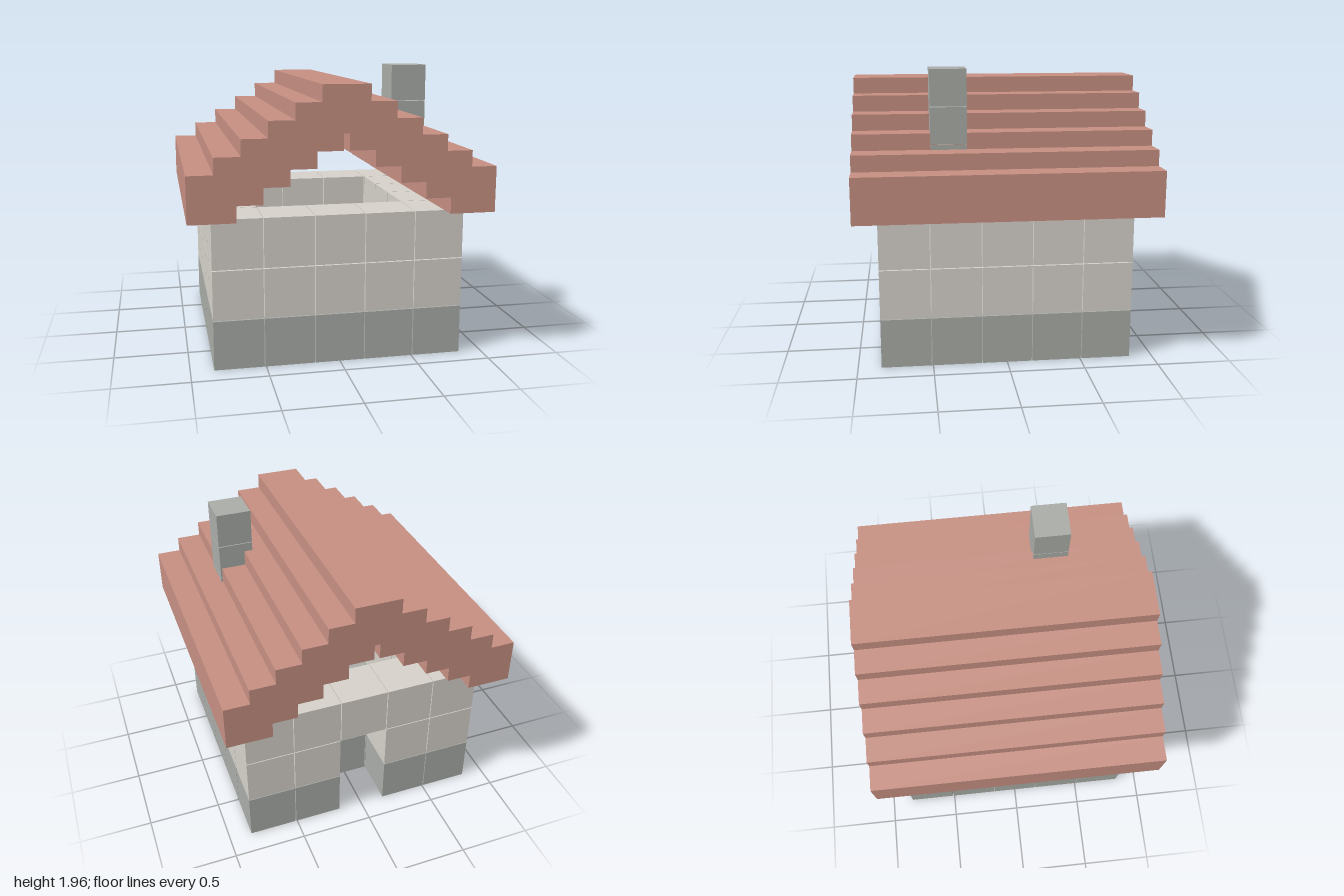
import * as THREE from 'three';

const PITCH = 0.339, BLOCK = 0.333;

const paint = (color) => new THREE.MeshStandardMaterial({ color });

function box(name, size, x, y, z, material) {
  const mesh = new THREE.Mesh(new THREE.BoxGeometry(size, size, size), material);
  mesh.name = name;
  mesh.position.set(x, y, z);
  return mesh;
}

// Stone base (full floor) and hollow wall courses, with a doorway in the back
function createWalls(stone, plaster) {
  const walls = new THREE.Group();
  walls.name = 'walls';
  for (let row = 0; row < 3; row++) {
    for (let i = -2; i <= 2; i++) {
      for (let k = -2; k <= 2; k++) {
        const outer = Math.abs(i) === 2 || Math.abs(k) === 2;
        const doorway = i === 0 && k === -2 && row < 2;
        if (doorway || (row > 0 && !outer)) continue;
        walls.add(box(row ? 'wallBlock' : 'baseBlock', BLOCK,
          i * PITCH, BLOCK / 2 + row * PITCH, k * PITCH, row ? plaster : stone));
      }
    }
  }
  return walls;
}

// Stepped gable roof: one stair profile, mirrored and extruded along z
function createRoof(material) {
  const run = 0.169, rise = 0.108, size = 0.305, base = 1.02, steps = 5;
  const outer = [], inner = [];
  for (let s = 0; s <= steps; s++) {
    const x = -1 + s * run, y = base + s * rise;
    outer.push([x, s ? y + size - rise : y], [x, y + size]);
    if (s < steps) inner.push([x + size, y], [x + size, y + rise]);
  }
  const mirror = (points) => points.map(([x, y]) => [-x, y]).reverse();
  const outline = [...outer, ...mirror(outer), ...inner.slice().map(([x, y]) => [-x, y]), ...inner.slice().reverse()];
  const shape = new THREE.Shape(outline.map(([x, y]) => new THREE.Vector2(x, y)));
  const geometry = new THREE.ExtrudeGeometry(shape, { depth: 2, bevelEnabled: false });
  geometry.translate(0, 0, -1);
  const roof = new THREE.Mesh(geometry, material);
  roof.name = 'roof';
  return roof;
}

export function createModel() {
  const stone = paint(0xa9aca7);
  const house = new THREE.Group();
  house.name = 'house';
  house.add(createWalls(stone, paint(0xd6d1ca)), createRoof(paint(0xc68f82)));

  // Chimney of three stacked blocks
  const chimney = new THREE.Group();
  chimney.name = 'chimney';
  for (let i = 0; i < 3; i++) {
    chimney.add(box('chimneyBlock', 0.241, 0.553, 1.345 + i * 0.246, 0.37, stone));
  }
  house.add(chimney);

  // Lamps set into the back wall on either side of the door
  const glow = paint(0xd9bd7a);
  for (const side of [-1, 1]) house.add(box('lamp', 0.215, side * 0.555, 0.6, -0.71, glow));
  return house;
}
